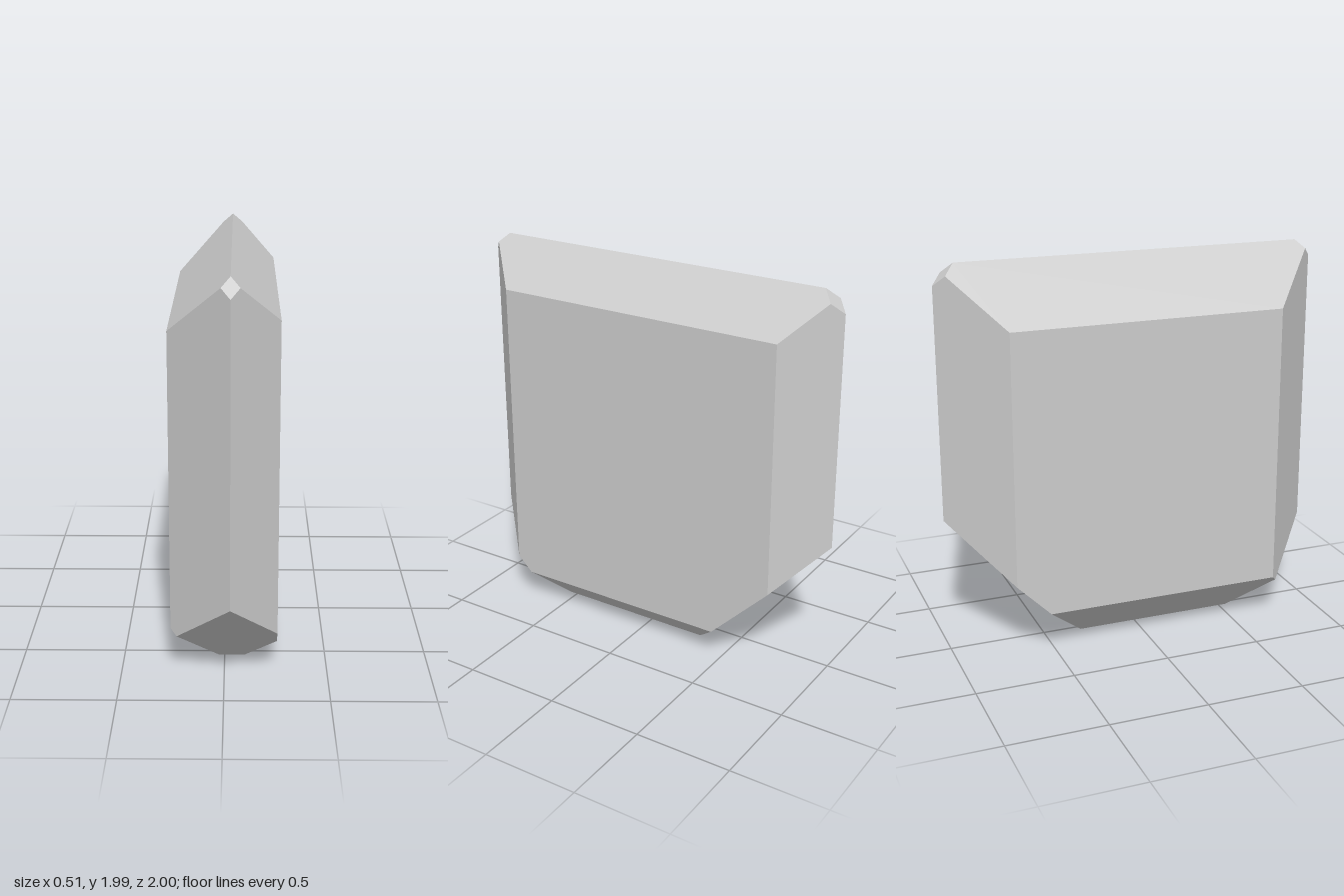
import * as THREE from 'three';

// Each facet is a plane: outward direction and its limit (dot(direction, point) <= limit)
const FACETS = [
  // flat sides and base
  [1, 0, 0, 0.255], [-1, 0, 0, 0.26], [0, -1, 0, 0],
  // roof bevels and lower side bevels
  [1, 1, 0, 2.02], [-1, 1, 0, 1.96], [1, -1, 0, 0.1], [-1, -1, 0, 0.03],
  // upright front and back bevels
  [1, 0, 1, 1.03], [-1, 0, 1, 0.97], [1, 0, -1, 1.03], [-1, 0, -1, 0.97],
  // lower front and back cuts
  [0, -1, 1, 0.54], [0, -1, -1, 0.305],
  // small cuts at the ends of the ridge
  [0, 1, 1, 2.905], [0, 1, -1, 2.885],
];

// Corners of the solid: points where three facets meet inside all the others
function findCorners(planes) {
  const corners = [];
  const n = planes.length;
  for (let i = 0; i < n; i++) for (let j = i + 1; j < n; j++) for (let k = j + 1; k < n; k++) {
    const [a, b, c] = [planes[i], planes[j], planes[k]];
    const bc = b.dir.clone().cross(c.dir);
    const det = a.dir.dot(bc);
    if (Math.abs(det) < 1e-6) continue;
    const p = bc.multiplyScalar(a.limit)
      .addScaledVector(c.dir.clone().cross(a.dir), b.limit)
      .addScaledVector(a.dir.clone().cross(b.dir), c.limit)
      .divideScalar(det);
    const inside = planes.every((q) => q.dir.dot(p) <= q.limit + 1e-6);
    if (inside && !corners.some((q) => q.distanceTo(p) < 1e-5)) corners.push(p);
  }
  return corners;
}

// Flat polygons, each with its corners sorted counter-clockwise about its normal
function facetedGeometry(planes) {
  const corners = findCorners(planes);
  const positions = [];
  for (const { dir, limit } of planes) {
    const ring = corners.filter((p) => Math.abs(dir.dot(p) - limit) < 1e-5);
    if (ring.length < 3) continue;
    const centre = ring.reduce((s, p) => s.add(p), new THREE.Vector3()).divideScalar(ring.length);
    const u = ring[0].clone().sub(centre).normalize();
    const v = dir.clone().normalize().cross(u);
    const angle = (p) => {
      const d = p.clone().sub(centre);
      return Math.atan2(d.dot(v), d.dot(u));
    };
    ring.sort((p, q) => angle(p) - angle(q));
    for (let i = 1; i < ring.length - 1; i++) {
      for (const p of [ring[0], ring[i], ring[i + 1]]) positions.push(p.x, p.y, p.z);
    }
  }
  const geometry = new THREE.BufferGeometry();
  geometry.setAttribute('position', new THREE.Float32BufferAttribute(positions, 3));
  geometry.computeVertexNormals();
  return geometry;
}

export function createModel() {
  const group = new THREE.Group();
  group.name = 'facetedSlab';
  const planes = FACETS.map(([x, y, z, limit]) => ({ dir: new THREE.Vector3(x, y, z), limit }));
  const material = new THREE.MeshStandardMaterial({ color: 0xcccccc, flatShading: true });
  const crystal = new THREE.Mesh(facetedGeometry(planes), material);
  crystal.name = 'crystal';
  group.add(crystal);
  return group;
}
